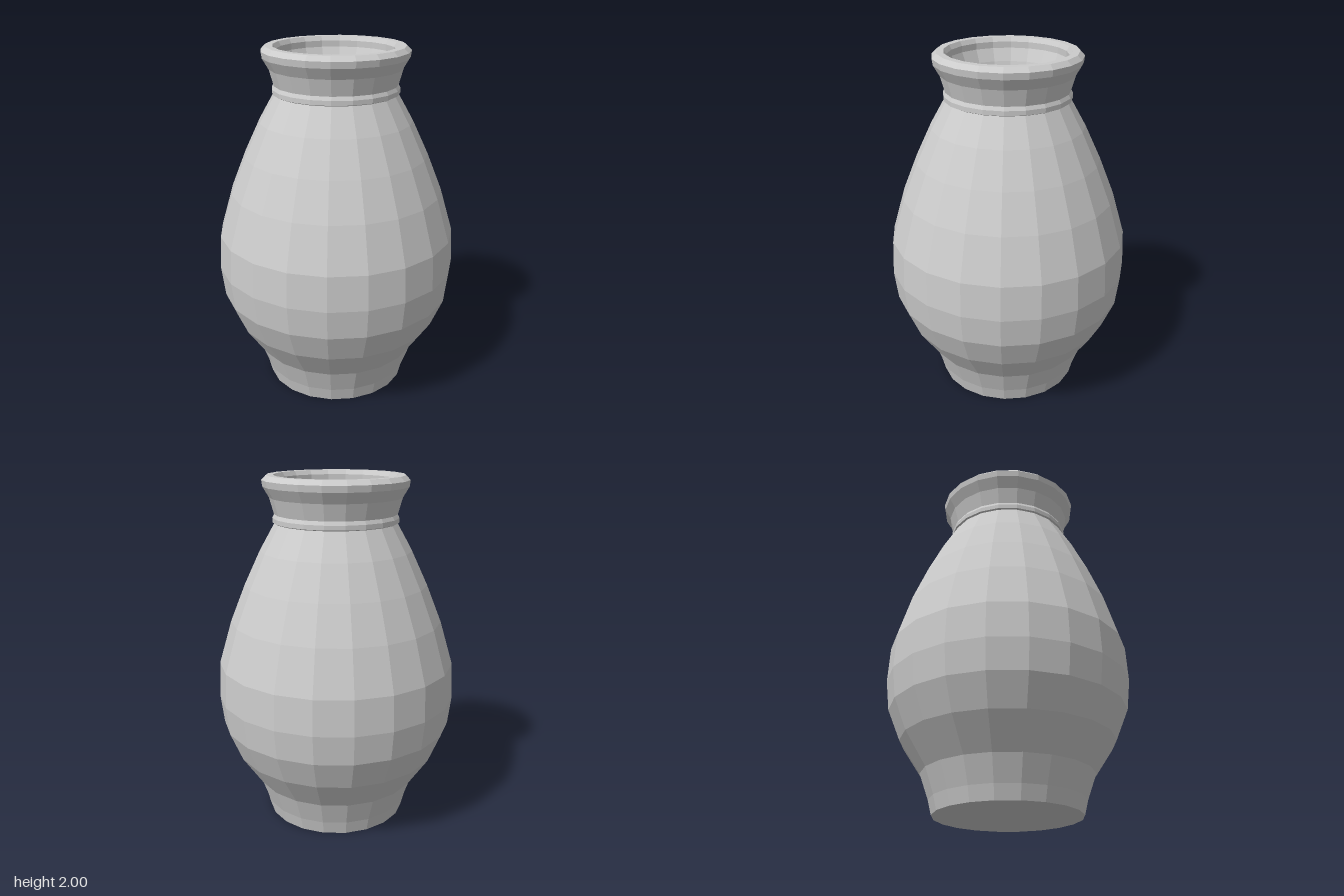
import * as THREE from 'three';

const SIDES = 20;

// Faceted surface of revolution from [radius, height] pairs;
// running up gives outward faces, running down gives inward faces.
function turned(name, profile, material) {
  const points = profile.map(([r, y]) => new THREE.Vector2(r, y));
  const mesh = new THREE.Mesh(new THREE.LatheGeometry(points, SIDES), material);
  mesh.name = name;
  return mesh;
}

export function createModel() {
  const vase = new THREE.Group();
  vase.name = 'vase';
  const clay = new THREE.MeshStandardMaterial({ color: 0xcccccc, flatShading: true });

  // Closed base and swelling belly up to the shoulder
  vase.add(turned('body', [
    [0, 0], [0.41, 0], [0.43, 0.08], [0.48, 0.22], [0.60, 0.40], [0.67, 0.57],
    [0.69, 0.74], [0.68, 0.94], [0.605, 1.19], [0.52, 1.40], [0.43, 1.59], [0.345, 1.74],
  ], clay));

  // Raised band at the foot of the neck
  vase.add(turned('neckBand', [
    [0.345, 1.74], [0.355, 1.745], [0.355, 1.77], [0.345, 1.79],
  ], clay));

  // Flaring neck
  vase.add(turned('neck', [[0.345, 1.79], [0.37, 1.88], [0.405, 1.94]], clay));

  // Bevelled lip
  vase.add(turned('rim', [
    [0.405, 1.94], [0.41, 1.975], [0.385, 2], [0.345, 2], [0.33, 1.975],
  ], clay));

  // Inner wall and floor
  vase.add(turned('interior', [
    [0.33, 1.975], [0.33, 1.94], [0.30, 1.87], [0.28, 1.79], [0.285, 1.74],
    [0.37, 1.59], [0.46, 1.40], [0.545, 1.19], [0.62, 0.94], [0.63, 0.74],
    [0.61, 0.57], [0.54, 0.40], [0.42, 0.22], [0.37, 0.08], [0, 0.06],
  ], clay));

  return vase;
}
